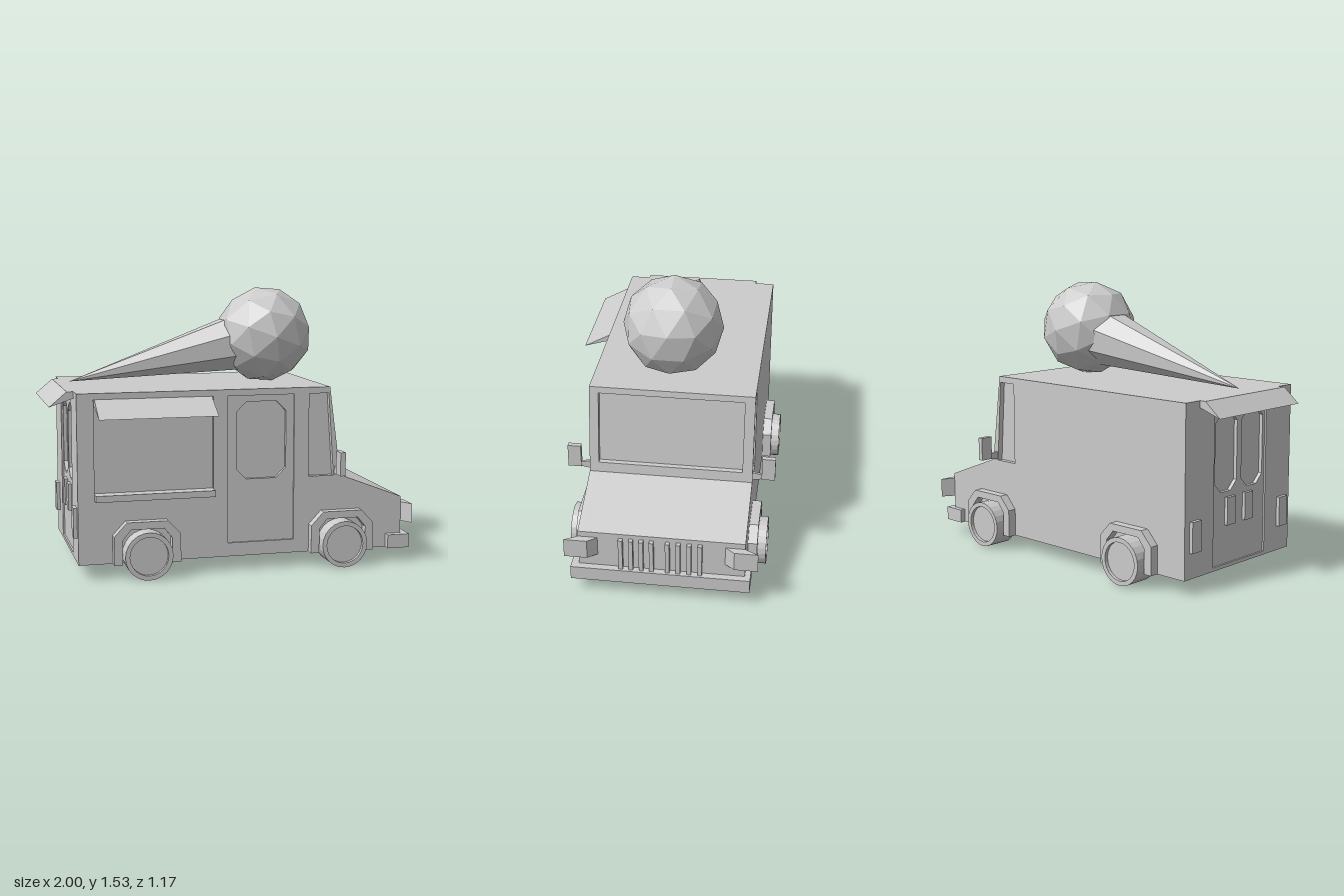
import * as THREE from 'three';

const grey = new THREE.MeshStandardMaterial({ color: 0xcccccc, flatShading: true, side: THREE.DoubleSide });
const ZC = -0.025; // centre plane of the van body

export function createModel() {
  const group = new THREE.Group();

  const add = (name, geometry) => {
    const mesh = new THREE.Mesh(geometry, grey);
    mesh.name = name;
    group.add(mesh);
    return mesh;
  };
  const box = (name, x0, x1, y0, y1, z0, z1) =>
    add(name, new THREE.BoxGeometry(x1 - x0, y1 - y0, z1 - z0)
      .translate((x0 + x1) / 2, (y0 + y1) / 2, (z0 + z1) / 2));
  const vectors = (pts) => pts.map(([x, y]) => new THREE.Vector2(x, y));
  const extrude = (pts, holes, depth) => {
    const shape = new THREE.Shape(vectors(pts));
    holes.forEach((h) => shape.holes.push(new THREE.Path(vectors(h))));
    return new THREE.ExtrudeGeometry(shape, { depth, bevelEnabled: false });
  };
  // outline in (x, y), thickness along z
  const slabZ = (pts, holes, z0, z1) => extrude(pts, holes, z1 - z0).translate(0, 0, z0);
  // outline in (z, y), thickness along x
  const slabX = (pts, holes, x0, x1) => extrude(pts, holes, x1 - x0).rotateY(-Math.PI / 2).translate(x1, 0, 0);
  const rect = (a0, a1, b0, b1) => [[a0, b0], [a1, b0], [a1, b1], [a0, b1]];
  const chamfered = (a0, a1, b0, b1, c) => [
    [a0 + c, b0], [a1 - c, b0], [a1, b0 + c], [a1, b1 - c],
    [a1 - c, b1], [a0 + c, b1], [a0, b1 - c], [a0, b0 + c]];

  // Inner body, with recessed glass faces
  add('bodyCore', slabZ([[-0.84, 0.08], [0.96, 0.08], [0.96, 0.365], [0.595, 0.505],
    [0.565, 0.505], [0.5, 1], [-0.84, 1]], [], -0.44, 0.39));

  // Side walls with openings
  const profile = [[-0.87, 0.08], [0.96, 0.08], [0.96, 0.365], [0.595, 0.505], [0.53, 1], [-0.87, 1]];
  const quarterWindow = [[0.41, 0.505], [0.555, 0.505], [0.523, 0.965], [0.41, 0.965]];
  const hatch = rect(-0.78, -0.13, 0.43, 0.965);
  const doorway = rect(-0.05, 0.325, 0.155, 0.965);
  add('leftWall', slabZ(profile, [quarterWindow, hatch, doorway], 0.39, 0.42));
  add('rightWall', slabZ(profile, [quarterWindow], -0.47, -0.44));
  add('sideDoor', slabZ(doorway, [chamfered(0, 0.28, 0.505, 0.93, 0.055)], 0.39, 0.41));

  // Windscreen frame, sheared to follow the slope
  const frame = slabX(rect(-0.44, 0.39, 0.505, 1), [rect(-0.415, 0.37, 0.56, 0.965)], 0.5, 0.53);
  const p = frame.attributes.position;
  for (let i = 0; i < p.count; i++) p.setX(i, p.getX(i) + (1 - p.getY(i)) * 0.1313);
  frame.computeVertexNormals();
  add('windscreenFrame', frame);

  // Rear wall and double doors
  const rearDoorway = rect(-0.24, 0.2, 0.1, 0.945);
  add('rearWall', slabX(rect(-0.44, 0.39, 0.08, 1), [rearDoorway], -0.87, -0.84));
  add('rearDoors', slabX(rearDoorway, [
    chamfered(-0.22, -0.04, 0.49, 0.91, 0.05),
    chamfered(0, 0.18, 0.49, 0.91, 0.05)], -0.86, -0.84));
  for (const side of [1, -1]) {
    const h = ZC + side * 0.075;
    box('rearDoorHandle', -0.878, -0.855, 0.31, 0.46, h - 0.035, h + 0.035);
    const t = ZC + side * 0.37;
    box('tailLight', -0.89, -0.865, 0.22, 0.385, t - 0.036, t + 0.036);
  }
  add('rearAwning', slabZ([[-0.86, 1], [-0.905, 1], [-1, 0.92], [-0.86, 0.967]], [], -0.36, 0.31));

  // Serving hatch awning and counter
  add('hatchAwning', slabX([[0.4, 0.967], [0.42, 0.967], [0.58, 0.88], [0.42, 0.928], [0.4, 0.928]],
    [], -0.775, -0.14));
  box('counter', -0.78, -0.13, 0.425, 0.46, 0.385, 0.465);

  // Bumper and grille
  box('bumper', 0.87, 0.998, 0.078, 0.155, -0.5, 0.46);
  for (let i = 0; i < 4; i++) {
    for (const z of [0.19 - i * 0.055, -0.06 - i * 0.0575]) {
      box('grilleBar', 0.95, 0.985, 0.155, 0.34, z - 0.0115, z + 0.0115);
    }
  }

  // Wheels, arches, headlights and mirrors, mirrored about the body's centre plane
  const archShape = [[-0.182, 0.08], [-0.182, 0.235], [-0.112, 0.31], [0.112, 0.31], [0.182, 0.235], [0.182, 0.08],
    [0.135, 0.08], [0.135, 0.215], [0.09, 0.27], [-0.09, 0.27], [-0.135, 0.215], [-0.135, 0.08]];
  const wheelProfile = vectors([[0, -0.07], [0.13, -0.07], [0.13, 0.07], [0.105, 0.07], [0.105, 0.05], [0, 0.05]]);
  for (const side of [1, -1]) {
    for (const x of [-0.505, 0.595]) {
      const wheel = add('wheel', new THREE.LatheGeometry(wheelProfile, 24));
      wheel.rotation.x = side * Math.PI / 2;
      wheel.position.set(x, 0.13, ZC + side * 0.47);
      const z = ZC + side * 0.465;
      add('wheelArch', slabZ(archShape, [], z - 0.03, z + 0.03)).position.x = x;
    }

    // headlight flares outwards towards the front
    const lamp = extrude([[0.94, 0.34], [0.96, 0.34], [1, 0.39], [1, 0.515], [0.96, 0.445], [0.94, 0.445]]
      .map(([x, z]) => [x, -side * z]), [], 0.108).rotateX(-Math.PI / 2).translate(0, 0.225, ZC);
    add('headlight', lamp);

    const m = ZC + side * 0.53;
    box('mirror', 0.553, 0.582, 0.52, 0.65, m - 0.036, m + 0.036);
    add('mirrorArm', slabX([[0.42, 0.505], [0.5, 0.52], [0.5, 0.545], [0.42, 0.56]]
      .map(([z, y]) => [ZC + side * z, y]), [], 0.56, 0.575));
  }

  // Rooftop cone lying on its side with a faceted scoop
  const tip = new THREE.Vector3(-0.85, 1.02, -0.012);
  const axis = new THREE.Vector3(0.96, 0.2, -0.006).normalize();
  const cone = add('cone', new THREE.ConeGeometry(0.165, 0.98, 8, 1)
    .rotateY(Math.PI / 8).rotateX(Math.PI).translate(0, 0.49, 0));
  cone.quaternion.setFromUnitVectors(new THREE.Vector3(0, 1, 0), axis);
  cone.position.copy(tip);
  const scoop = add('scoop', new THREE.IcosahedronGeometry(0.272, 1));
  scoop.position.set(0.27, 1.265, 0);
  scoop.rotation.z = 0.2;

  return group;
}
